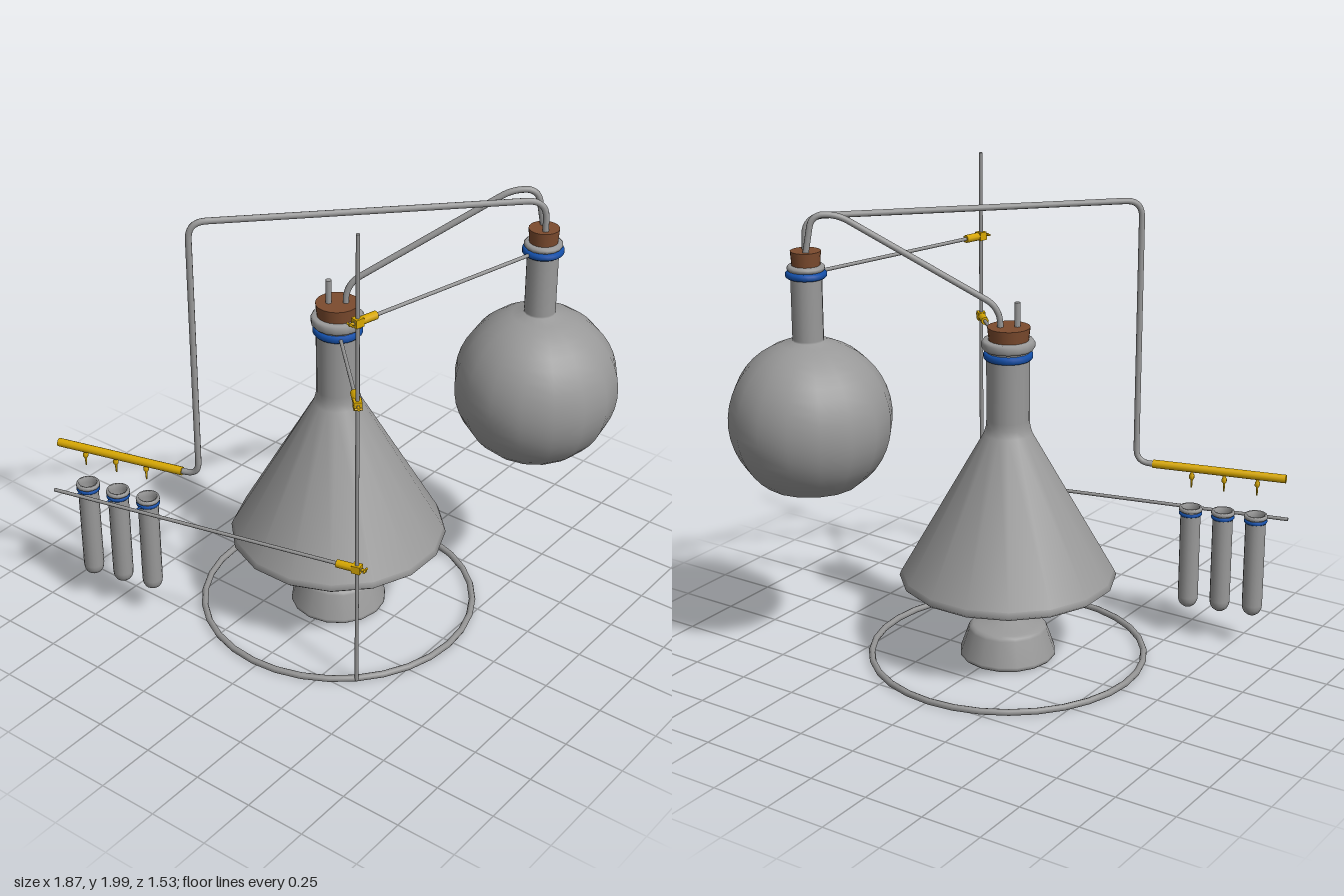
import * as THREE from 'three';

const mat = (name, color, side = THREE.FrontSide) => {
  const m = new THREE.MeshStandardMaterial({ color, side });
  m.name = name;
  return m;
};
const V = (x, y, z) => new THREE.Vector3(x, y, z);

export function createModel() {
  const glass = mat('greyGlass', 0x999999, THREE.DoubleSide);
  const metal = mat('greyMetal', 0x949494);
  const gold = mat('brass', 0xd8a800);
  const blue = mat('blueRubber', 0x1450aa);
  const cork = mat('cork', 0x7c4b2e);
  const flameYellow = mat('flameYellow', 0xf0b020);

  const model = new THREE.Group();
  model.name = 'distillationSet';

  const add = (name, geo, material, pos, parent = model) => {
    const m = new THREE.Mesh(geo, material);
    m.name = name;
    if (pos) m.position.copy(pos);
    parent.add(m);
    return m;
  };
  // Profiles run from bottom to top; a repeated point gives a sharp edge
  const lathe = (pts, seg = 16, phi = 0) =>
    new THREE.LatheGeometry(pts.map(p => new THREE.Vector2(p[0], p[1])), seg, phi);
  const ring = (name, r, h, t, material, pos) => add(name, lathe([
    [r - t, -h / 2], [r - t, -h / 2], [r - t * 0.4, -h / 2], [r, -h / 4], [r, h / 4],
    [r - t * 0.4, h / 2], [r - t, h / 2]], 24), material, pos);
  // Straight cylinder between two points
  const rod = (name, a, b, r, material, seg = 10, r2 = r) => {
    const d = b.clone().sub(a);
    const m = add(name, new THREE.CylinderGeometry(r2, r, d.length(), seg), material, a.clone().add(b).multiplyScalar(0.5));
    m.quaternion.setFromUnitVectors(V(0, 1, 0), d.normalize());
    return m;
  };
  // Pipe through points with rounded corners
  const pipe = (name, pts, radii, r) => {
    const path = new THREE.CurvePath();
    let last = pts[0];
    for (let i = 1; i < pts.length - 1; i++) {
      const c = pts[i];
      const a = c.clone().add(pts[i - 1].clone().sub(c).setLength(radii[i - 1]));
      const b = c.clone().add(pts[i + 1].clone().sub(c).setLength(radii[i - 1]));
      path.add(new THREE.LineCurve3(last, a));
      path.add(new THREE.QuadraticBezierCurve3(a, c, b));
      last = b;
    }
    path.add(new THREE.LineCurve3(last, pts[pts.length - 1]));
    return add(name, new THREE.TubeGeometry(path, 200, r, 10), glass);
  };

  const cx = -0.018, cz = 0.034;          // conical flask and burner axis
  const rx = 0.604, rz = -0.445;          // round flask axis
  const sx = 0.386, sz = 0.44;            // stand rod axis

  // Stand: base ring and upright
  const base = add('baseRing', new THREE.TorusGeometry(0.565, 0.0135, 8, 32), metal, V(cx, 0.021, cz));
  base.rotation.x = Math.PI / 2;
  rod('standRod', V(sx, 0.02, sz), V(sx, 2, sz), 0.008, metal);

  // Conical flask
  add('conicalFlask', lathe([
    [0, 0.35], [0.43, 0.35], [0.43, 0.35], [0.445, 0.363], [0.435, 0.385], [0.435, 0.385],
    [0.098, 0.98], [0.089, 1.01], [0.087, 1.04], [0.087, 1.33], [0.087, 1.33], [0.1, 1.33],
    [0.107, 1.34], [0.107, 1.36], [0.1, 1.37], [0.08, 1.37]], 16, Math.PI / 16), glass, V(cx, 0, cz));
  add('conicalFlaskCork', new THREE.CylinderGeometry(0.086, 0.078, 0.07, 20), cork, V(cx - 0.003, 1.387, cz));
  rod('ventTube', V(-0.047, 1.38, 0.055), V(-0.047, 1.52, 0.055), 0.0125, glass);

  // Round flask with flattened bottom
  const sphere = [];
  for (let i = 0; i <= 16; i++) {
    const a = -0.945 + (0.945 + 1.38) * i / 16;
    sphere.push([0.328 * Math.cos(a), 1.06 + 0.328 * Math.sin(a)]);
  }
  add('roundFlask', lathe([
    [0, 0.795], sphere[0], ...sphere, [0.062, 1.39], [0.062, 1.665], [0.062, 1.665], [0.07, 1.665],
    [0.075, 1.672], [0.075, 1.68], [0.068, 1.687], [0.05, 1.687]], 16), glass, V(rx, 0, rz));
  add('roundFlaskCork', new THREE.CylinderGeometry(0.06, 0.054, 0.08, 20), cork, V(rx, 1.703, rz));

  // Glass pipes
  pipe('connectingPipe', [
    V(0.005, 1.38, 0.012), V(0.005, 1.5, 0.012), V(0.495, 1.895, -0.395),
    V(0.565, 1.885, -0.453), V(0.59, 1.7, -0.472)], [0.07, 0.06, 0.045], 0.0125);
  pipe('deliveryPipe', [
    V(-0.4, 0.763, 0.556), V(-0.325, 0.763, 0.537), V(-0.325, 1.872, 0.537),
    V(0.622, 1.872, -0.425), V(0.622, 1.7, -0.425)], [0.06, 0.07, 0.08], 0.0125);

  // Clamp: arm from the stand, brass boss and screws
  const clamp = (name, y, end) => {
    const dir = V(end.x - sx, 0, end.z - sz).normalize();
    const at = (d, dy = 0) => V(sx, y + dy, sz).addScaledVector(dir, d);
    rod(name + 'Arm', at(-0.02), V(end.x, y, end.z), 0.0075, metal);
    rod(name + 'Boss', at(-0.012), at(0.085), 0.0165, gold, 8);
    const jaw = add(name + 'Jaw', new THREE.BoxGeometry(0.032, 0.034, 0.036), gold, at(0));
    jaw.rotation.y = Math.atan2(dir.x, dir.z);
    rod(name + 'Screw', at(-0.04), at(-0.01), 0.006, gold, 8);
    const side = V(-dir.z, 0, dir.x);
    rod(name + 'WingNut', at(-0.035).addScaledVector(side, -0.016), at(-0.035).addScaledVector(side, 0.016), 0.005, gold, 6);
  };
  // Arm ends at the rim of the held ring
  const rim = (x, z, r) => V(x, 0, z).add(V(sx - x, 0, sz - z).setLength(r));
  clamp('roundFlaskClamp', 1.65, rim(rx, rz, 0.07));
  ring('roundFlaskClampRing', 0.081, 0.028, 0.021, blue, V(rx, 1.65, rz));
  clamp('conicalFlaskClamp', 1.305, rim(cx, cz, 0.09));
  ring('conicalFlaskClampRing', 0.099, 0.03, 0.016, blue, V(cx, 1.305, cz));
  clamp('testTubeClamp', 0.565, V(-0.925, 0, 0.755));

  // Brass manifold with drip nozzles above the test tubes
  const mA = V(-0.935, 0.763, 0.698), mB = V(-0.395, 0.763, 0.556);
  rod('manifold', mA, mB, 0.0175, gold, 12);
  for (const [x, z] of [[-0.823, 0.664], [-0.69, 0.628], [-0.558, 0.593]]) {
    add('nozzle', lathe([[0, 0.68], [0.003, 0.68], [0.005, 0.715], [0.005, 0.715], [0.011, 0.722],
      [0.011, 0.735], [0.007, 0.74], [0.007, 0.755]], 8), gold, V(x, 0, z));
    add('testTube', lathe([[0, 0.145], [0.018, 0.149], [0.032, 0.16], [0.04, 0.176], [0.042, 0.195],
      [0.042, 0.578], [0.042, 0.578], [0.048, 0.58], [0.049, 0.588], [0.046, 0.596],
      [0.037, 0.596], [0.037, 0.57], [0.037, 0.2], [0, 0.155]], 16), glass, V(x, 0, z));
    ring('testTubeRing', 0.048, 0.014, 0.007, blue, V(x, 0.568, z));
    // Short link from the ring to the arm
    const armZ = sz + (x - sx) * (0.755 - sz) / (-0.925 - sx);
    rod('testTubeLink', V(x, 0.567, z + 0.042), V(x, 0.567, armZ), 0.005, blue, 6);
  }

  // Spirit burner with wick and flame
  add('burner', lathe([[0, 0.01], [0.19, 0.01], [0.19, 0.01], [0.199, 0.018], [0.198, 0.03],
    [0.163, 0.13], [0.157, 0.14], [0.145, 0.148], [0.125, 0.152], [0.03, 0.178],
    [0.03, 0.178], [0.022, 0.184], [0, 0.184]], 16), glass, V(cx, 0, cz));
  rod('wickHolder', V(cx, 0.18, cz), V(cx, 0.2, cz), 0.012, gold, 8);
  rod('wickKnob', V(cx - 0.028, 0.191, cz), V(cx, 0.191, cz), 0.005, gold, 6);
  rod('wick', V(cx, 0.2, cz), V(cx, 0.215, cz), 0.005, cork, 6);
  add('flameBase', lathe([[0, 0.235], [0.008, 0.245], [0.014, 0.265], [0.011, 0.287]], 10), blue, V(cx, 0, cz));
  add('flameTip', lathe([[0.011, 0.287], [0.006, 0.305], [0, 0.328]], 10), flameYellow, V(cx, 0, cz));

  return model;
}
